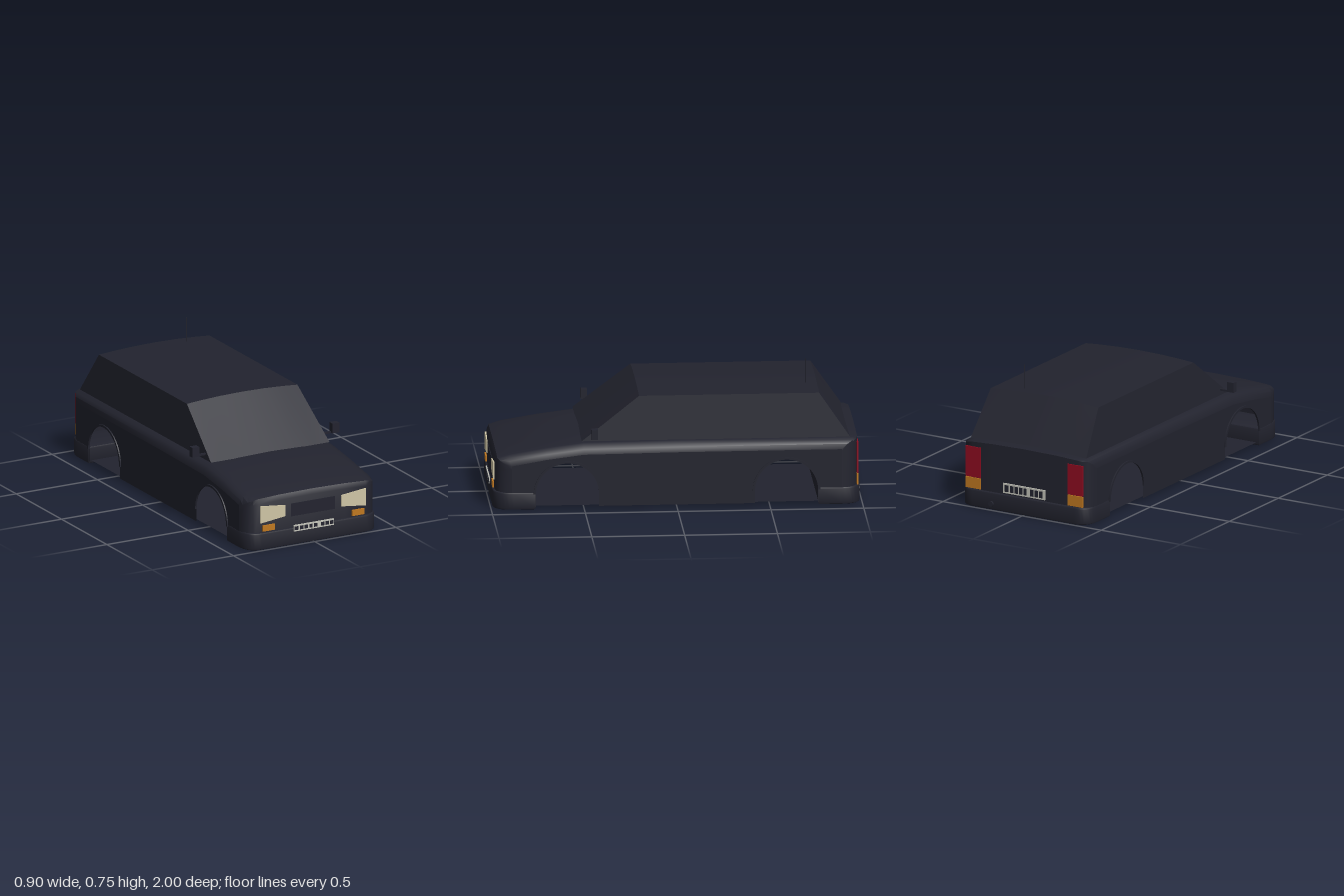
import * as THREE from 'three';
import { toCreasedNormals } from 'three/addons/utils/BufferGeometryUtils.js';

const paint = (name, color, side = THREE.FrontSide) => {
  const m = new THREE.MeshStandardMaterial({ color, side });
  m.name = name;
  return m;
};

export function createModel() {
  const car = new THREE.Group();
  car.name = 'car';
  const body = paint('midnight body', 0x22232e, THREE.DoubleSide);
  const lens = paint('headlight cream', 0xcfc5a5);
  const amber = paint('indicator amber', 0xc07820);
  const red = paint('tail light red', 0x8e0c20);
  const white = paint('plate white', 0xc4c4ba);

  const add = (name, geometry, material, x = 0, y = 0, z = 0) => {
    const mesh = new THREE.Mesh(geometry, material);
    mesh.name = name;
    mesh.position.set(x, y, z);
    car.add(mesh);
    return mesh;
  };
  // Box given by its limits on each axis
  const box = (name, material, [x0, x1], [y0, y1], [z0, z1]) =>
    add(name, new THREE.BoxGeometry(Math.abs(x1 - x0), y1 - y0, z1 - z0), material,
      (x0 + x1) / 2, (y0 + y1) / 2, (z0 + z1) / 2);

  // Skin running along a (z, y) profile and across the car
  function skin(name, profile, xs, place) {
    const pos = [], index = [], n = xs.length;
    profile.forEach(([z, y], i) => xs.forEach((x, j) => {
      pos.push(...place(x, y, z));
      if (i && j) {
        const d = i * n + j, c = d - 1, b = d - n, a = b - 1;
        index.push(a, c, b, b, c, d);
      }
    }));
    const g = new THREE.BufferGeometry();
    g.setAttribute('position', new THREE.Float32BufferAttribute(pos, 3));
    g.setIndex(index);
    add(name, toCreasedNormals(g, 0.6), body);
  }
  const mirrored = (half) => [...half, 0, ...half.slice().reverse().map((x) => -x)];

  // Lower body: the shoulders and corners fall away towards the sides
  const edge = [
    [0.405, 0.07, 0.09], [0.4, 0.042, 0.06], [0.385, 0.024, 0.03],
    [0.36, 0.014, 0.012], [0.33, 0.009, 0.004], [0.2, 0.003, 0], [0, 0, 0],
  ];
  const bodyPoint = (x, y, z) => {
    const [, dy, dz] = edge.find((e) => e[0] === Math.abs(x));
    return [x, y > 0.1 ? y - dy : y, Math.sign(z) * Math.min(Math.abs(z), 0.98 - dz)];
  };
  const bodyProfile = [
    [0.978, 0.015], [0.98, 0.265], [0.965, 0.292], [0.9, 0.312], [0.7, 0.345], [0.5, 0.37],
    [0, 0.375], [-0.95, 0.376], [-0.975, 0.368], [-0.975, 0.015],
  ];
  skin('bodyShell', bodyProfile, mirrored(edge.slice(0, 6).map((e) => e[0])), bodyPoint);

  // Side panels with open wheel arches
  const panel = new THREE.Shape();
  bodyProfile.forEach(([z, y], i) => {
    const p = bodyPoint(0.405, y, z);
    if (i) panel.lineTo(p[2], p[1]); else panel.moveTo(p[2], p[1]);
  });
  for (const c of [-0.59, 0.59]) {
    panel.lineTo(c - 0.17, 0.015);
    panel.absarc(c, 0.085, 0.17, Math.PI, 0, true);
    panel.lineTo(c + 0.17, 0.015);
  }
  const panelGeometry = new THREE.ShapeGeometry(panel, 24).rotateY(-Math.PI / 2);

  // Raised lip around each arch
  const lip = new THREE.Shape();
  lip.absarc(0, 0.085, 0.182, 0, Math.PI, false);
  lip.absarc(0, 0.085, 0.17, Math.PI, 0, true);
  const lipGeometry = new THREE.ExtrudeGeometry(lip, { depth: 0.01, bevelEnabled: false, curveSegments: 24 })
    .translate(0, 0, -0.005).rotateY(-Math.PI / 2);

  for (const s of [-1, 1]) {
    add('sidePanel', panelGeometry, body, s * 0.405);
    for (const z of [-0.59, 0.59]) add('archLip', lipGeometry, body, s * 0.407, 0, z);
  }

  // Thin floor pan
  add('floor', new THREE.PlaneGeometry(0.78, 1.84).rotateX(-Math.PI / 2), body, 0, 0.018, 0);

  // Cabin: tapered sides and a gently crowned roof
  const cabinPoint = (x, y, z) => {
    const t = (y - 0.365) / 0.24;
    return [x * (0.365 - 0.025 * t), y + 0.015 * t * (1 - x * x), z];
  };
  const cabinProfile = [[0.51, 0.365], [0.2, 0.605], [-0.77, 0.605], [-0.935, 0.365]];
  skin('cabin', cabinProfile, mirrored([1, 0.75, 0.4]), cabinPoint);
  for (const s of [-1, 1]) {
    const corners = cabinProfile.map(([z, y]) => cabinPoint(s, y, z));
    const g = new THREE.BufferGeometry();
    g.setAttribute('position', new THREE.Float32BufferAttribute(corners.flat(), 3));
    g.setIndex(s > 0 ? [0, 2, 1, 0, 3, 2] : [0, 1, 2, 0, 2, 3]);
    g.computeVertexNormals();
    add('cabinSide', g, body);
  }

  // Wrap-round bumpers, front and rear
  const plan = new THREE.Shape();
  plan.moveTo(-0.4, 0.77);
  plan.lineTo(-0.4, 0.88);
  plan.quadraticCurveTo(-0.4, 0.98, -0.32, 0.982);
  plan.lineTo(0.32, 0.982);
  plan.quadraticCurveTo(0.4, 0.98, 0.4, 0.88);
  plan.lineTo(0.4, 0.77);
  const bumper = new THREE.ExtrudeGeometry(plan, {
    depth: 0.076, bevelThickness: 0.01, bevelSize: 0.008, bevelSegments: 2, curveSegments: 8,
  }).rotateX(Math.PI / 2).translate(0, 0.087, 0);
  const bumperGeometry = toCreasedNormals(bumper, 0.6);
  add('frontBumper', bumperGeometry, body);
  add('rearBumper', bumperGeometry, body).rotation.y = Math.PI;

  // Front: grille, headlights and indicators
  box('grille', body, [-0.135, 0.135], [0.16, 0.232], [0.978, 0.983]);
  for (const s of [-1, 1]) {
    const lamp = new THREE.Shape([[0.172, 0.168], [0.325, 0.15], [0.325, 0.246], [0.172, 0.231]]
      .map(([x, y]) => new THREE.Vector2(s * x, y)));
    add('headlight', new THREE.ExtrudeGeometry(lamp, { depth: 0.008, bevelEnabled: false }), lens, 0, 0, 0.977);
    box('frontIndicator', amber, [s * 0.238, s * 0.313], [0.103, 0.136], [0.979, 0.988]);
    // Tail lights
    box('tailLight', red, [s * 0.275, s * 0.37], [0.163, 0.333], [-0.981, -0.972]);
    box('rearIndicator', amber, [s * 0.275, s * 0.37], [0.1, 0.16], [-0.981, -0.972]);
    // Door mirrors
    box('mirrorArm', body, [s * 0.35, s * 0.42], [0.39, 0.4], [0.435, 0.447]);
    box('mirrorHead', body, [s * 0.41, s * 0.452], [0.393, 0.448], [0.428, 0.462]);
  }

  // Plates with plain dark blocks
  const blocks = [-0.11, -0.077, -0.048, -0.02, 0.008, 0.052, 0.08, 0.108];
  box('frontPlate', white, [-0.125, 0.122], [0.075, 0.111], [0.988, 0.994]);
  box('rearPlate', white, [-0.132, 0.132], [0.105, 0.16], [-0.982, -0.974]);
  blocks.forEach((x, i) => {
    const w = i ? 0.01 : 0.012;
    box('plateBlock', body, [x - w, x + w], [0.083, 0.103], [0.992, 0.996]);
    box('plateBlock', body, [-x - w, -x + w], [0.114, 0.151], [-0.985, -0.981]);
  });

  // Aerial and exhaust
  add('aerial', new THREE.CylinderGeometry(0.003, 0.003, 0.14, 8), body, 0.165, 0.68, -0.71);
  add('exhaust', new THREE.CylinderGeometry(0.015, 0.015, 0.08, 12).rotateX(Math.PI / 2), body, 0.2, 0.035, -0.96);
  return car;
}
